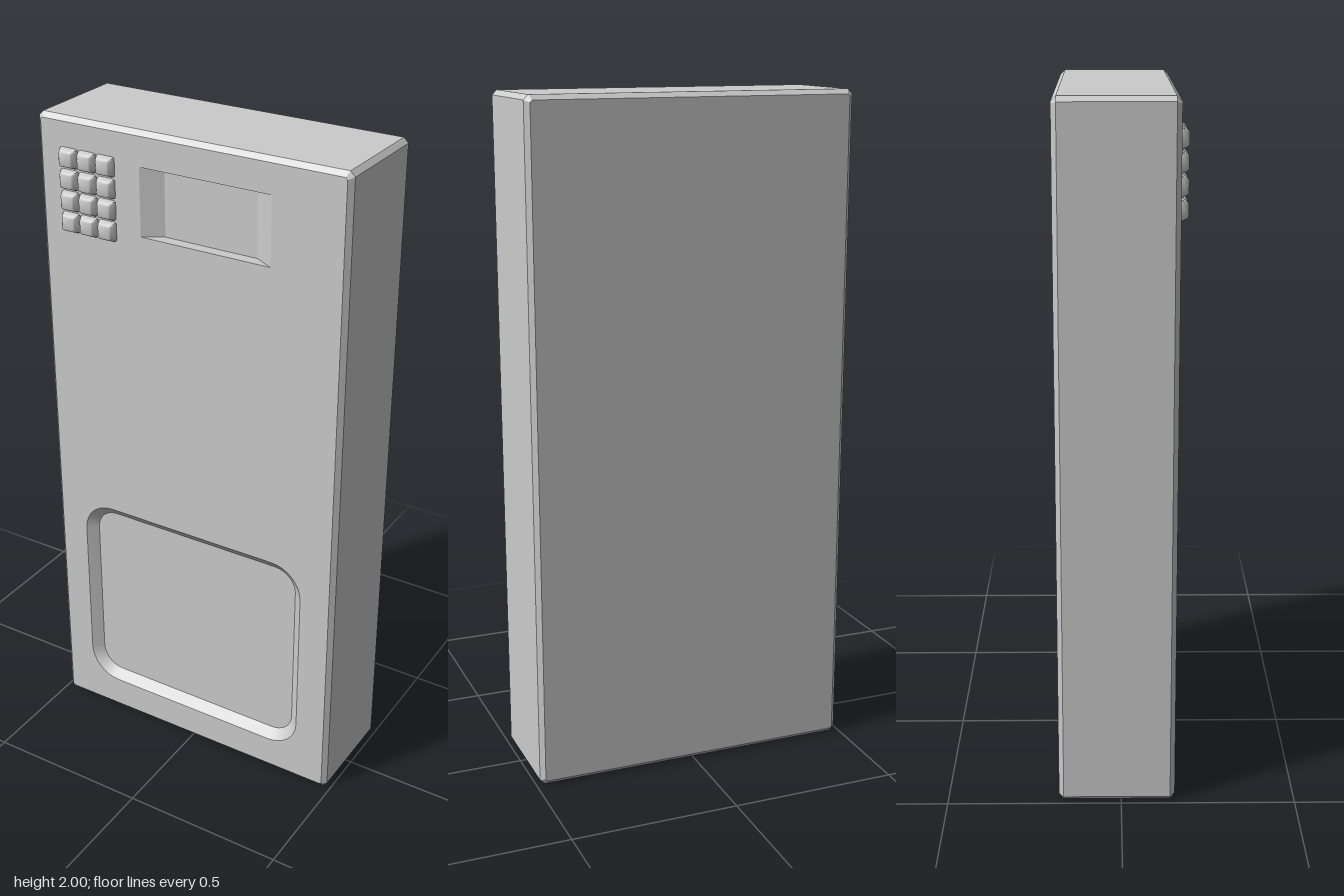
import * as THREE from 'three';
import { toCreasedNormals } from 'three/addons/utils/BufferGeometryUtils.js';

const material = new THREE.MeshStandardMaterial({ color: 0xcccccc });

// Counter-clockwise rectangle outline with rounded corners (r = 0: sharp)
function outline(x0, x1, y0, y1, r = 0, seg = 1) {
  if (r === 0) return [[x0, y0], [x1, y0], [x1, y1], [x0, y1]];
  const centres = [[x1 - r, y0 + r, -0.5], [x1 - r, y1 - r, 0], [x0 + r, y1 - r, 0.5], [x0 + r, y0 + r, 1]];
  const pts = [];
  for (const [cx, cy, start] of centres) {
    for (let i = 0; i <= seg; i++) {
      const a = (start + 0.5 * i / seg) * Math.PI;
      pts.push([cx + r * Math.cos(a), cy + r * Math.sin(a)]);
    }
  }
  return pts;
}

// Skin a list of { pts, z } rings, with optional flat caps
function loft(rings, capStart, capEnd, crease = 0.5) {
  const pos = [];
  const at = (ring, i) => {
    const p = ring.pts[i % ring.pts.length];
    return [p[0], p[1], ring.z];
  };
  const n = rings[0].pts.length;
  for (let k = 0; k < rings.length - 1; k++) {
    for (let i = 0; i < n; i++) {
      const a = at(rings[k], i), b = at(rings[k], i + 1);
      const c = at(rings[k + 1], i + 1), d = at(rings[k + 1], i);
      pos.push(...a, ...b, ...c, ...a, ...c, ...d);
    }
  }
  const cap = (ring, flip) => {
    for (let i = 1; i < n - 1; i++) {
      const b = at(ring, i), c = at(ring, i + 1);
      pos.push(...at(ring, 0), ...(flip ? c : b), ...(flip ? b : c));
    }
  };
  if (capStart) cap(rings[0], true);
  if (capEnd) cap(rings[rings.length - 1], false);
  const g = new THREE.BufferGeometry();
  g.setAttribute('position', new THREE.Float32BufferAttribute(pos, 3));
  return toCreasedNormals(g, crease);
}

const vectors = (pts) => pts.map(([x, y]) => new THREE.Vector2(x, y));

export function createModel() {
  const group = new THREE.Group();
  const add = (name, geometry, parent = group) => {
    const mesh = new THREE.Mesh(geometry, material);
    mesh.name = name;
    parent.add(mesh);
    return mesh;
  };
  const W = 0.488, H = 2, back = -0.18, front = 0.155, bevel = 0.014;

  // Cabinet shell with chamfered edges, open at the front
  const full = outline(-W, W, 0, H, bevel);
  const inset = outline(-W + bevel, W - bevel, bevel, H - bevel, 0.006);
  add('cabinet', loft([
    { pts: inset, z: back },
    { pts: full, z: back + bevel },
    { pts: full, z: front - bevel },
    { pts: inset, z: front },
  ], true, false));

  // Front face pierced by the two recesses
  const panelRim = outline(-0.385, 0.38, 0.112, 0.775, 0.1, 8);
  const screenRim = outline(-0.15, 0.26, 1.7, 1.9);
  const face = new THREE.Shape(vectors(inset));
  for (const rim of [panelRim, screenRim]) face.holes.push(new THREE.Path(vectors(rim)));
  add('frontFace', new THREE.ShapeGeometry(face).translate(0, 0, front));

  // Lower rounded panel with sloping walls
  add('lowerPanel', loft([
    { pts: panelRim, z: front },
    { pts: outline(-0.355, 0.35, 0.142, 0.745, 0.07, 8), z: front - 0.026 },
  ], false, true));

  // Upper display recess, ramped at its left and right ends
  add('displayRecess', loft([
    { pts: screenRim, z: front },
    { pts: outline(-0.092, 0.2, 1.7, 1.9), z: front - 0.035 },
  ], false, true, 0.3));

  // Keypad: three columns by four rows of tapered keys
  const keypad = new THREE.Group();
  keypad.name = 'keypad';
  group.add(keypad);
  const ring = (s, r, z) => ({ pts: outline(-s, s, -s, s, r, 2), z });
  const key = loft([
    ring(0.029, 0.006, -0.005),
    ring(0.028, 0.006, 0.005),
    ring(0.022, 0.006, 0.019),
    ring(0.017, 0.005, 0.023),
  ], true, true, 0.7);
  for (let row = 0; row < 4; row++) {
    for (let col = 0; col < 3; col++) {
      add('key', key, keypad).position.set(-0.382 + col * 0.0615, 1.885 - row * 0.0625, front);
    }
  }
  return group;
}
